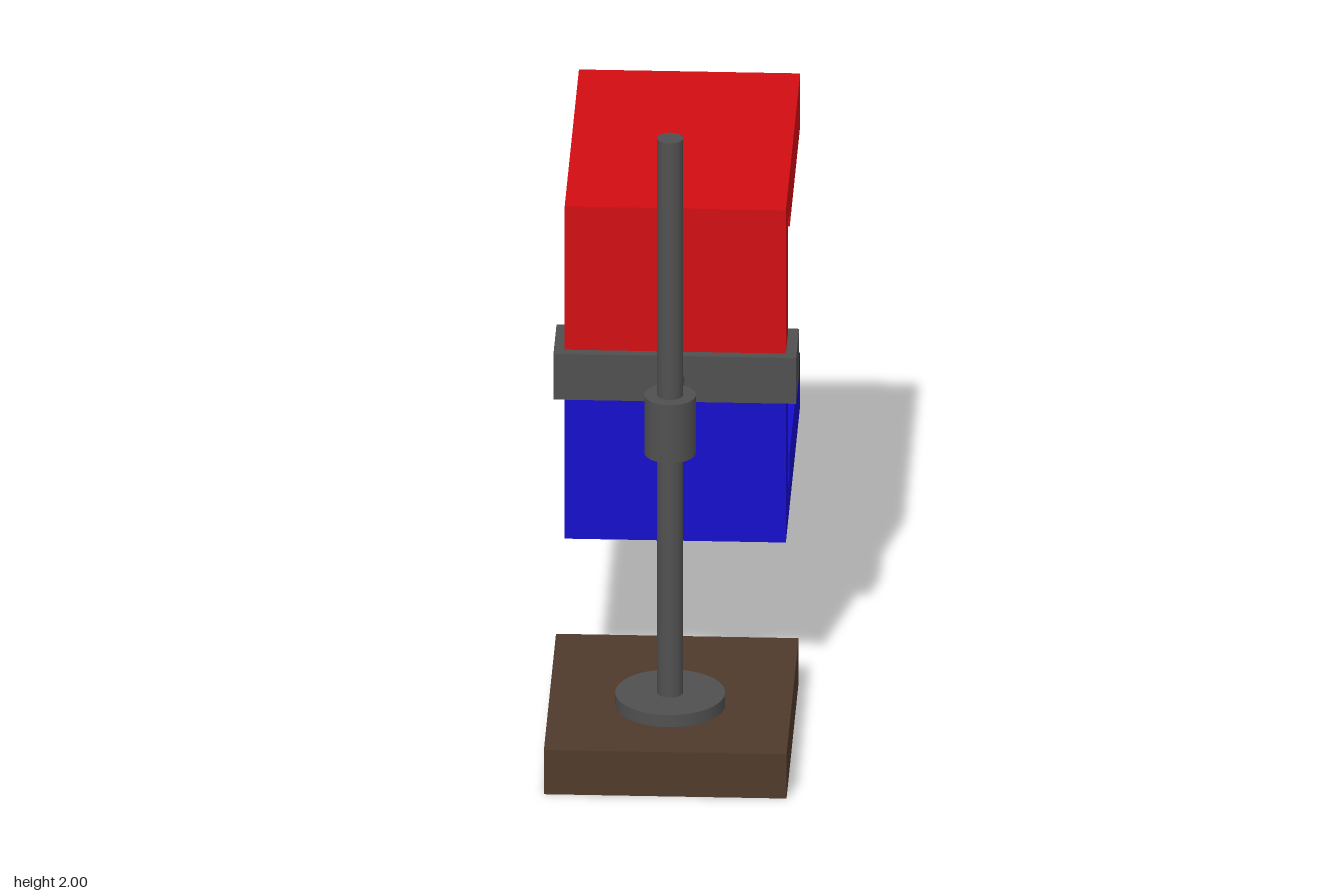
import * as THREE from 'three';

const mat = (color) => new THREE.MeshStandardMaterial({ color });
const polygon = (pts) => new THREE.Shape(pts.map(([x, y]) => new THREE.Vector2(x, y)));

export function createModel() {
  const model = new THREE.Group();
  const metal = mat(0x505050);
  const add = (name, geometry, material) => {
    const mesh = new THREE.Mesh(geometry, material);
    mesh.name = name;
    model.add(mesh);
    return mesh;
  };

  const poleZ = 0.497; // axis of the upright pole
  const midY = 1.066;  // height of clamp and joint between the magnet halves

  // Upright cylinder on the pole axis, between two heights
  const upright = (name, radius, y0, y1) =>
    add(name, new THREE.CylinderGeometry(radius, radius, y1 - y0, 48), metal)
      .position.set(0, (y0 + y1) / 2, poleZ);

  // Stand
  add('base', new THREE.BoxGeometry(0.724, 0.145, 0.836), mat(0x503a2b))
    .position.set(0, 0.0725, 0.422);
  upright('poleFlange', 0.164, 0.145, 0.185);
  upright('pole', 0.039, 0.145, 2);
  upright('collar', 0.077, 0.97, 1.16);

  // Rod from the collar to the clamp
  const rod = new THREE.CylinderGeometry(0.029, 0.029, 0.33, 32).rotateX(Math.PI / 2);
  add('clampRod', rod, metal).position.set(0, midY, 0.335);

  // Magnet halves: an L profile in (z, height above the joint) with an undercut
  const profile = [
    [0.146, 0], [0.146, 0.544], [-0.84, 0.544], [-0.84, 0.37],
    [-0.12, 0.37], [-0.12, 0.435], [0.002, 0.435], [0.002, 0],
  ];
  const halfWidth = 0.33;
  for (const [name, sign, color] of [['upperPole', 1, 0xd20c12], ['lowerPole', -1, 0x150ccc]]) {
    const shape = polygon(profile.map(([z, h]) => [z, midY + sign * h]));
    const geometry = new THREE.ExtrudeGeometry(shape, { depth: 2 * halfWidth, bevelEnabled: false })
      .rotateY(-Math.PI / 2)
      .translate(halfWidth, 0, 0);
    add(name, geometry, mat(color));
  }

  // Clamp: C-shaped bracket with lips hooked behind the magnet, outline in (x, z)
  const half = [[0.362, 0.177], [0.362, -0.034], [0.2, -0.034], [0.2, 0.002], [0.33, 0.002], [0.33, 0.146]];
  const outline = [...half, ...half.map(([x, z]) => [-x, z]).reverse()];
  const clamp = new THREE.ExtrudeGeometry(polygon(outline), { depth: 0.15, bevelEnabled: false })
    .rotateX(Math.PI / 2)
    .translate(0, midY + 0.075, 0);
  add('clamp', clamp, metal);

  return model;
}
